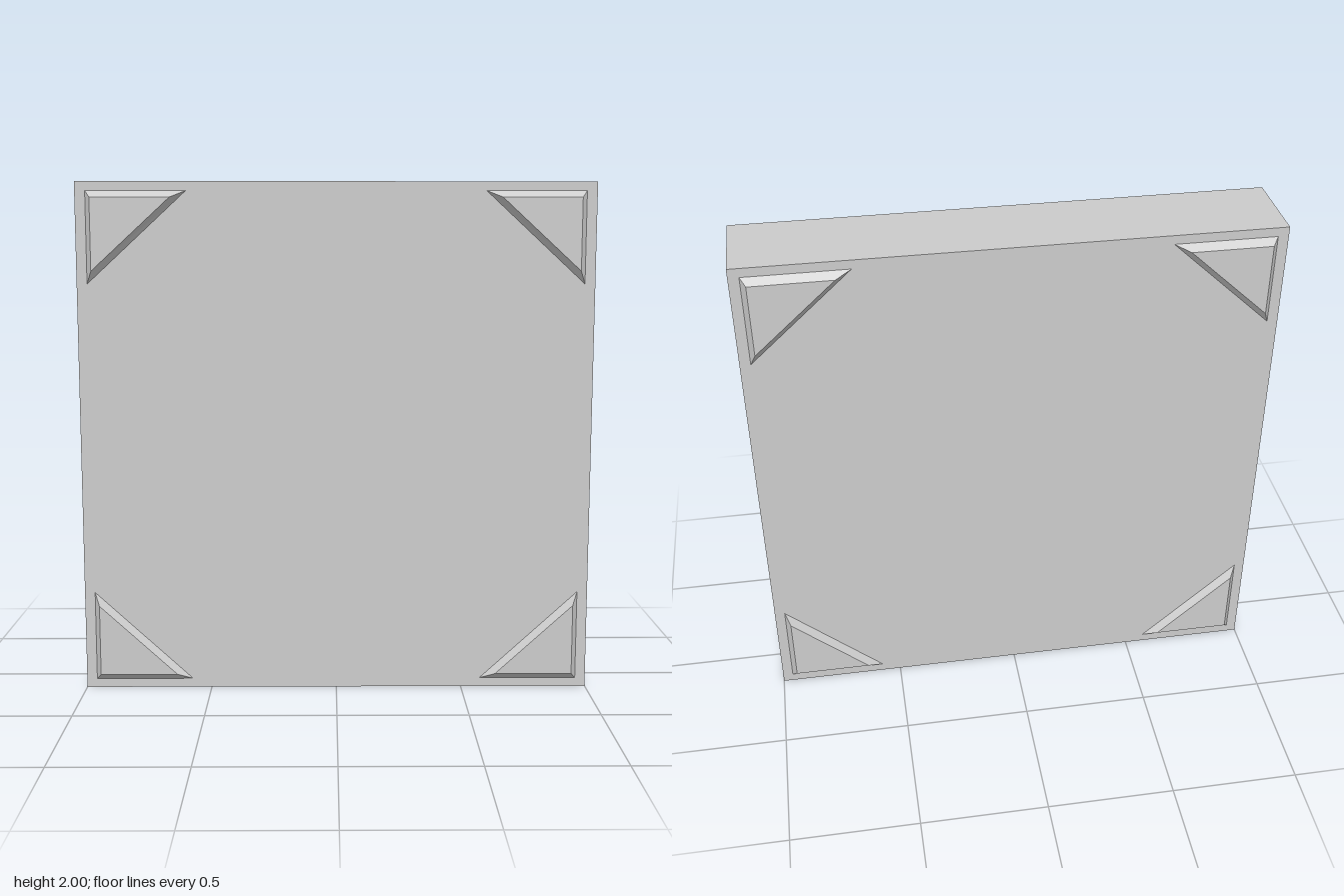
import * as THREE from 'three';

const HALF_DEPTH = 0.165;
const RAISED = 0.19;

// Bevelled right-angled triangle for one corner, mirrored by the signs sx, sy, sz
function cornerGeometry(sx, sy, sz) {
  const base = [[0.96, 0.965], [0.575, 0.965], [0.96, 0.61]];
  const top = [[0.94, 0.94], [0.635, 0.94], [0.94, 0.66]];
  const place = (z) => ([x, y]) => [x * sx, y * sy, z * sz];
  const lower = base.map(place(HALF_DEPTH));
  const upper = top.map(place(RAISED));

  const triangles = [upper];
  for (let i = 0; i < 3; i++) {
    const j = (i + 1) % 3;
    triangles.push([lower[i], lower[j], upper[j]], [lower[i], upper[j], upper[i]]);
  }
  // An odd number of mirrorings reverses the winding
  if (sx * sy * sz < 0) triangles.forEach((t) => t.reverse());

  const geometry = new THREE.BufferGeometry();
  geometry.setAttribute('position', new THREE.Float32BufferAttribute(triangles.flat(2), 3));
  geometry.computeVertexNormals();
  return geometry;
}

export function createModel() {
  const model = new THREE.Group();
  model.name = 'squarePanel';
  const material = new THREE.MeshStandardMaterial({ color: 0xcccccc, flatShading: true });

  // Main slab
  const slab = new THREE.Mesh(new THREE.BoxGeometry(2, 2, HALF_DEPTH * 2), material);
  slab.name = 'slab';
  slab.position.y = 1;
  model.add(slab);

  // Raised corner plates on front and back
  for (const sz of [1, -1]) {
    for (const sy of [1, -1]) {
      for (const sx of [1, -1]) {
        const plate = new THREE.Mesh(cornerGeometry(sx, sy, sz), material);
        plate.name = `${sz > 0 ? 'front' : 'back'}${sy > 0 ? 'Upper' : 'Lower'}${sx > 0 ? 'Left' : 'Right'}Corner`;
        plate.position.y = 1;
        model.add(plate);
      }
    }
  }
  return model;
}
